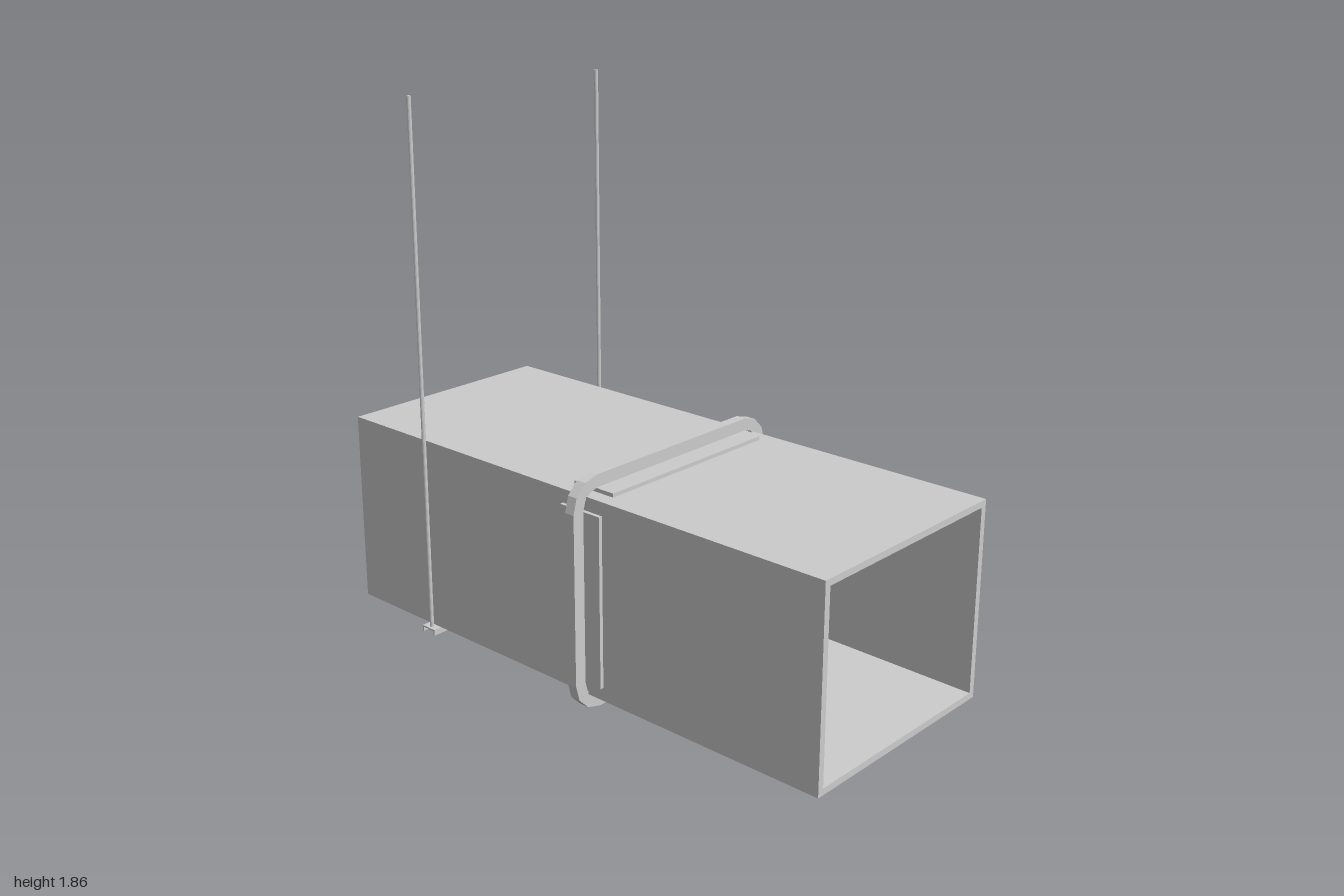
import * as THREE from 'three';

const material = new THREE.MeshStandardMaterial({ color: 0xcccccc, flatShading: true });
const DUCT_Y = 0.392, HALF_W = 0.4, HALF_H = 0.333;

function add(parent, name, geometry, x = 0, y = 0, z = 0) {
  const mesh = new THREE.Mesh(geometry, material);
  mesh.name = name;
  mesh.position.set(x, y, z);
  parent.add(mesh);
  return mesh;
}

// Square tube whose bore narrows towards the back
function ductGeometry() {
  const loop = (inset, z) => [[1, 1], [-1, 1], [-1, -1], [1, -1]]
    .map(([sx, sy]) => [sx * (HALF_W - inset), sy * (HALF_H - inset), z]);
  const loops = [loop(0, 1), loop(0, -1), loop(0.05, -1), loop(0.022, 1)];
  const pos = [];
  loops.forEach((a, i) => {
    const b = loops[(i + 1) % loops.length];
    for (let j = 0; j < 4; j++) {
      const k = (j + 1) % 4;
      pos.push(...a[j], ...b[j], ...b[k], ...a[j], ...b[k], ...a[k]);
    }
  });
  const g = new THREE.BufferGeometry();
  g.setAttribute('position', new THREE.Float32BufferAttribute(pos, 3));
  g.computeVertexNormals();
  return g;
}

// Rectangle outline with chamfer-like rounded corners
function roundedLoop(Type, cx, cy, r) {
  const pts = [];
  [[1, 1], [-1, 1], [-1, -1], [1, -1]].forEach(([sx, sy], q) => {
    for (let i = 0; i <= 3; i++) {
      const a = (q + i / 3) * Math.PI / 2;
      pts.push(new THREE.Vector2(sx * cx + r * Math.cos(a), sy * cy + r * Math.sin(a)));
    }
  });
  return new Type(pts);
}

export function createModel() {
  const model = new THREE.Group();
  model.name = 'hungDuct';

  add(model, 'duct', ductGeometry(), 0, DUCT_Y, 0);

  // Clamp ring around the duct
  const clamp = new THREE.Group();
  clamp.name = 'clamp';
  model.add(clamp);
  const ring = roundedLoop(THREE.Shape, 0.35, 0.287, 0.105);
  ring.holes.push(roundedLoop(THREE.Path, 0.35, 0.287, 0.063));
  add(clamp, 'clampRing',
    new THREE.ExtrudeGeometry(ring, { depth: 0.036, bevelEnabled: false }), 0, DUCT_Y, 0.064);

  // Pads between ring and duct, one per face
  for (const s of [1, -1]) {
    add(clamp, 'horizontalPad', new THREE.BoxGeometry(0.7, 0.014, 0.165),
      0, DUCT_Y + s * (HALF_H + 0.006), 0.0825);
    add(clamp, 'sidePad', new THREE.BoxGeometry(0.014, 0.575, 0.165),
      s * (HALF_W + 0.006), DUCT_Y, 0.0825);
  }

  // Trapeze hanger: downward-open channel carried by two rods
  const hanger = new THREE.Group();
  hanger.name = 'hanger';
  hanger.position.z = -0.635;
  model.add(hanger);
  add(hanger, 'channelWeb', new THREE.BoxGeometry(0.86, 0.005, 0.06), 0, 0.0555, 0);
  for (const s of [1, -1]) {
    add(hanger, 'channelFlange', new THREE.BoxGeometry(0.86, 0.021, 0.005), 0, 0.0475, s * 0.0275);
    add(hanger, 'hangerRod', new THREE.CylinderGeometry(0.007, 0.007, 1.815, 12), s * 0.414, 0.9525, 0);
  }
  return model;
}
